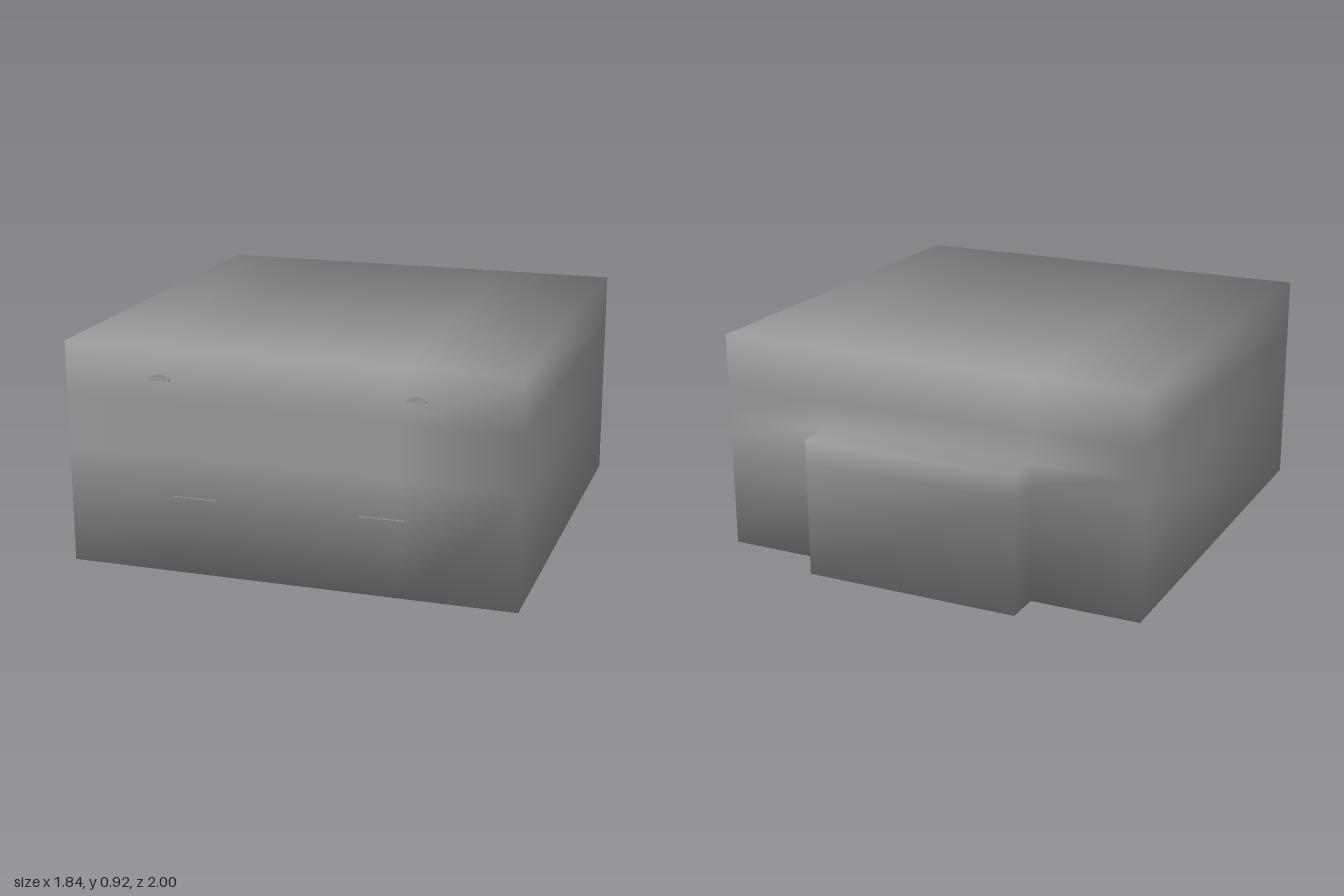
import * as THREE from 'three';

// Grid lines of the shell; the rear housing grows out of the back of the main block.
const GRID = [
  [-0.92, -0.46, 0.46, 0.92],
  [0, 0.48, 0.58, 0.7, 0.92],
  [-1, -0.85, 0.99],
];

function isSolid([i, j, k]) {
  if (i < 0 || j < 0 || k < 0 || i > 2 || j > 3 || k > 1) return false;
  return k === 1 || (i === 1 && j < 2);
}

// Emit every exposed cell face with shared corners; each face counts equally in the soft normals.
function shellGeometry() {
  const vertices = new Map();
  const index = [];
  const vertex = (c) => {
    const key = c.join();
    if (!vertices.has(key)) {
      vertices.set(key, {
        id: vertices.size,
        position: c.map((n, axis) => GRID[axis][n]),
        normal: new THREE.Vector3(),
      });
    }
    return vertices.get(key);
  };
  for (let i = 0; i < 3; i++) for (let j = 0; j < 4; j++) for (let k = 0; k < 2; k++) {
    const cell = [i, j, k];
    if (!isSolid(cell)) continue;
    for (let axis = 0; axis < 3; axis++) for (const side of [0, 1]) {
      const sign = side ? 1 : -1;
      const next = [...cell];
      next[axis] += sign;
      if (isSolid(next)) continue;
      const corners = [[0, 0], [1, 0], [1, 1], [0, 1]].map(([a, b]) => {
        const c = [...cell];
        c[axis] += side;
        c[(axis + 1) % 3] += a;
        c[(axis + 2) % 3] += b;
        const v = vertex(c);
        v.normal.setComponent(axis, v.normal.getComponent(axis) + sign);
        return v.id;
      });
      if (!side) corners.reverse();
      for (const n of [0, 1, 2, 0, 2, 3]) index.push(corners[n]);
    }
  }
  const list = [...vertices.values()];
  const g = new THREE.BufferGeometry();
  g.setAttribute('position', new THREE.Float32BufferAttribute(list.flatMap((v) => v.position), 3));
  g.setAttribute('normal', new THREE.Float32BufferAttribute(list.flatMap((v) => v.normal.normalize().toArray()), 3));
  g.setIndex(index);
  return g;
}

export function createModel() {
  const model = new THREE.Group();
  const material = new THREE.MeshStandardMaterial({ color: 0x999999 });
  const add = (name, geometry, x, y, z) => {
    const mesh = new THREE.Mesh(geometry, material);
    mesh.name = name;
    mesh.position.set(x, y, z);
    model.add(mesh);
  };

  // Main block with rear housing
  add('bodyWithRearHousing', shellGeometry(), 0, 0, 0);

  // Small peaked tabs near the top of the front
  const outline = [[-0.042, 0], [0.042, 0], [0.042, 0.009], [0.008, 0.027], [-0.008, 0.027], [-0.042, 0.009]];
  const tab = new THREE.ExtrudeGeometry(
    new THREE.Shape(outline.map(([x, y]) => new THREE.Vector2(x, y))),
    { depth: 0.015, bevelEnabled: false });

  // Thin strips lower on the front
  const strip = new THREE.BoxGeometry(0.18, 0.004, 0.01);

  for (const s of [-1, 1]) {
    const label = s > 0 ? 'left' : 'right';
    add(label + 'FrontTab', tab, s * 0.518, 0.79, 0.985);
    add(label + 'FrontStrip', strip, s * 0.385, 0.318, 0.987);
  }
  return model;
}
